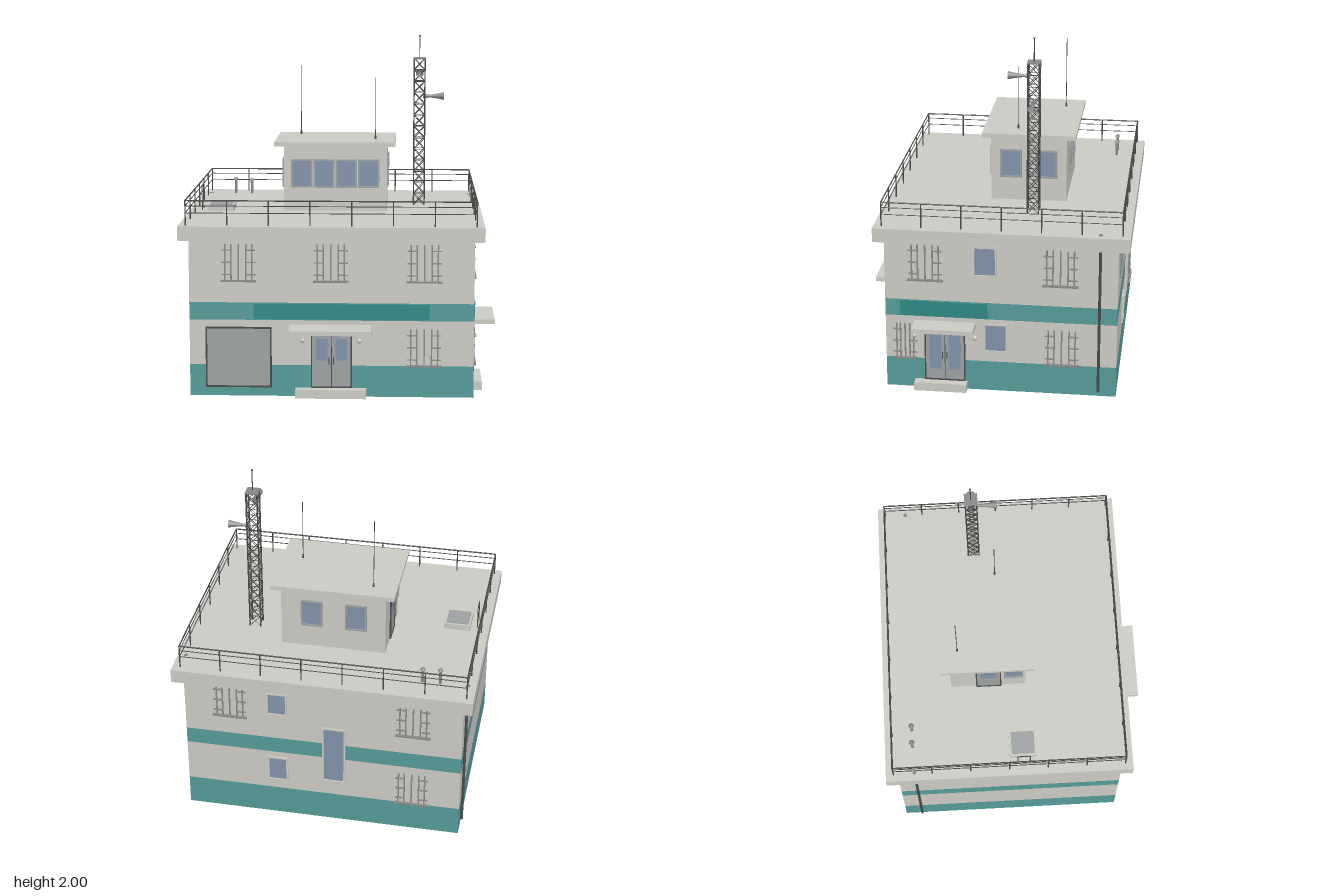
import * as THREE from 'three';

const mat = (color, side = THREE.FrontSide) => new THREE.MeshStandardMaterial({ color, side });
const WALL = mat(0xcccac4), TEAL = mat(0x559b99), SIGN = mat(0x2f8884), GLASS = mat(0x8092a8),
  PANEL = mat(0x9da1a2), DARK = mat(0x4a4c4c), METAL = mat(0x888a8a, THREE.DoubleSide);

function add(parent, name, geo, m, x = 0, y = 0, z = 0) {
  const o = new THREE.Mesh(geo, m);
  o.name = name;
  o.position.set(x, y, z);
  parent.add(o);
  return o;
}
// Box given by its limits on each axis
function box(parent, name, m, x0, x1, y0, y1, z0, z1) {
  return add(parent, name, new THREE.BoxGeometry(x1 - x0, y1 - y0, z1 - z0), m,
    (x0 + x1) / 2, (y0 + y1) / 2, (z0 + z1) / 2);
}
// Round rod between two points
function rod(parent, name, m, a, b, r, sides = 6) {
  const p = new THREE.Vector3(...a), q = new THREE.Vector3(...b), d = q.clone().sub(p);
  const o = add(parent, name, new THREE.CylinderGeometry(r, r, d.length(), sides), m);
  o.position.copy(p).add(q).multiplyScalar(0.5);
  o.quaternion.setFromUnitVectors(new THREE.Vector3(0, 1, 0), d.normalize());
  return o;
}
function group(parent, name, x = 0, y = 0, z = 0, ry = 0) {
  const g = new THREE.Group();
  g.name = name;
  g.position.set(x, y, z);
  g.rotation.y = ry;
  parent.add(g);
  return g;
}
// Four bars around an opening, standing out from the wall plane z = 0
function frame(g, m, w, y0, y1, t, d) {
  for (const s of [-1, 1]) box(g, 'frameSide', m, s * w / 2 - t / 2, s * w / 2 + t / 2, y0, y1, -0.005, d);
  for (const y of [y0, y1]) box(g, 'frameRail', m, -w / 2 - t / 2, w / 2 + t / 2, y - t / 2, y + t / 2, -0.005, d);
}
function glazedWindow(face, x, y0, y1, w, frameMat = WALL) {
  const g = group(face, 'window', x);
  box(g, 'glass', GLASS, -w / 2, w / 2, y0, y1, -0.01, 0.003);
  frame(g, frameMat, w, y0, y1, 0.01, 0.01);
}
// Window closed with bars and hinge straps over a sill
function barredWindow(face, x, y, w = 0.19) {
  const g = group(face, 'barredWindow', x);
  box(g, 'sill', METAL, -w / 2 - 0.005, w / 2 + 0.005, y - 0.006, y + 0.004, -0.005, 0.016);
  for (const k of [-0.4, -0.22, 0, 0.22, 0.4])
    box(g, 'bar', METAL, k * w - 0.004, k * w + 0.004, y, y + 0.21, -0.005, 0.006);
  for (const s of [-1, 1]) for (const h of [0.035, 0.105, 0.175])
    box(g, 'hingeStrap', METAL, s * w * 0.37 - 0.025, s * w * 0.37 + 0.025, y + h - 0.003, y + h + 0.003, -0.005, 0.009);
}
// Double door with step, canopy and lamps
function entrance(face, x, doorW, canopy, step, out, lampX) {
  const g = group(face, 'entrance', x);
  box(g, 'door', PANEL, -doorW / 2, doorW / 2, 0.05, 0.37, -0.01, 0.004);
  frame(g, DARK, doorW, 0.055, 0.37, 0.007, 0.01);
  box(g, 'doorSplit', DARK, -0.002, 0.002, 0.055, 0.37, 0, 0.006);
  const low = out > 0.15 ? 0.21 : 0.12;
  for (const s of [-1, 1]) {
    box(g, 'doorGlass', GLASS, s * 0.055 - 0.033, s * 0.055 + 0.033, low, 0.335, 0, 0.007);
    rod(g, 'handle', DARK, [s * 0.012, 0.19, 0.014], [s * 0.012, 0.23, 0.014], 0.003);
  }
  box(g, 'canopy', WALL, canopy[0] - x, canopy[1] - x, 0.39, 0.415, -0.01, out);
  box(g, 'step', WALL, step[0] - x, step[1] - x, 0, 0.05, -0.01, 0.055);
  add(g, 'canopyLamp', new THREE.SphereGeometry(0.018, 16, 8).scale(1, 0.6, 1), METAL, 0, 0.387, out / 2);
  for (const lx of lampX)
    add(g, 'wallLamp', new THREE.SphereGeometry(0.014, 16, 10), WALL, lx - x, 0.325, 0.008);
}

function building(root) {
  const g = group(root, 'building');
  // Painted wall courses stacked from the ground
  [[0, 0.18, TEAL, 'plinth'], [0.18, 0.44, WALL, 'lowerWall'], [0.44, 0.54, TEAL, 'stripe'], [0.54, 0.9, WALL, 'upperWall']]
    .forEach(([a, b, m, n]) => box(g, n, m, -0.84, 0.765, a, b, -0.71, 0.6));
  box(g, 'roofSlab', WALL, -0.895, 0.82, 0.9, 0.98, -0.775, 0.655);

  const front = group(g, 'frontFace', 0, 0, 0.6);
  for (const x of [-0.56, -0.04, 0.485]) barredWindow(front, x, 0.665);
  barredWindow(front, 0.485, 0.182);
  box(front, 'signBoard', SIGN, -0.475, 0.515, 0.446, 0.534, -0.005, 0.008);
  entrance(front, -0.0375, 0.225, [-0.27, 0.19], [-0.24, 0.16], 0.17, [-0.2, 0.12]);
  const garage = group(front, 'garageDoor', -0.5625);
  box(garage, 'doorPanel', PANEL, -0.18, 0.18, 0.05, 0.395, -0.01, 0.004);
  frame(garage, DARK, 0.365, 0.055, 0.395, 0.009, 0.009);

  // On the right face local x runs along -z
  const right = group(g, 'rightFace', 0.765, 0, 0, Math.PI / 2);
  barredWindow(right, -0.37, 0.665);
  barredWindow(right, 0.39, 0.665);
  barredWindow(right, 0.4, 0.182);
  barredWindow(right, -0.49, 0.182, 0.12);
  glazedWindow(right, -0.033, 0.705, 0.875, 0.125);
  glazedWindow(right, 0.027, 0.245, 0.41, 0.125);
  box(right, 'signBoard', SIGN, -0.515, -0.02, 0.446, 0.534, -0.005, 0.008);
  entrance(right, -0.2625, 0.225, [-0.435, -0.087], [-0.435, -0.135], 0.125, [-0.435, -0.09]);

  // On the back face local x runs along -x
  const back = group(g, 'backFace', 0, 0, -0.71, Math.PI);
  barredWindow(back, 0.56, 0.665);
  barredWindow(back, 0.56, 0.182);
  barredWindow(back, -0.5, 0.665);
  glazedWindow(back, -0.225, 0.71, 0.85, 0.11);
  glazedWindow(back, -0.225, 0.245, 0.4, 0.11);
  glazedWindow(back, 0.105, 0.28, 0.65, 0.125);

  for (const x of [-0.848, 0.773]) {
    rod(g, 'downpipe', DARK, [x, 0.03, -0.61], [x, 0.9, -0.61], 0.008, 10);
    add(g, 'roofDrain', new THREE.CylinderGeometry(0.012, 0.012, 0.004, 12), METAL, x, 0.982, -0.61);
  }
}

function railing(root) {
  const g = group(root, 'railing');
  const x0 = -0.855, x1 = 0.775, z0 = -0.73, z1 = 0.61;
  for (const [y, r] of [[1.12, 0.004], [1.09, 0.0025], [1.05, 0.0025]]) {
    for (const z of [z0, z1]) rod(g, 'rail', DARK, [x0, y, z], [x1, y, z], r);
    for (const x of [x0, x1]) rod(g, 'rail', DARK, [x, y, z0], [x, y, z1], r);
  }
  for (let i = 0; i <= 7; i++) for (const z of [z0, z1]) {
    const x = x0 + (x1 - x0) * i / 7;
    rod(g, 'post', DARK, [x, 0.98, z], [x, 1.12, z], 0.004);
  }
  for (let i = 1; i < 6; i++) for (const x of [x0, x1]) {
    const z = z0 + (z1 - z0) * i / 6;
    rod(g, 'post', DARK, [x, 0.98, z], [x, 1.12, z], 0.004);
  }
}

function lookout(root) {
  const g = group(root, 'lookout');
  box(g, 'cabin', WALL, -0.34, 0.265, 0.98, 1.37, -0.375, 0.06);
  box(g, 'cabinRoof', WALL, -0.395, 0.315, 1.365, 1.39, -0.43, 0.108);
  const front = group(g, 'cabinFront', 0, 0, 0.06);
  for (let i = 0; i < 4; i++) glazedWindow(front, -0.235 + i * 0.131, 1.122, 1.28, 0.115, PANEL);
  const right = group(g, 'cabinRight', 0.265, 0, 0, Math.PI / 2);
  for (const x of [0.055, 0.26]) glazedWindow(right, x, 1.122, 1.28, 0.115, PANEL);
  const back = group(g, 'cabinBack', 0, 0, -0.375, Math.PI);
  for (const x of [-0.087, 0.17]) glazedWindow(back, x, 1.122, 1.28, 0.115, PANEL);
  const left = group(g, 'cabinLeft', -0.34, 0, 0, -Math.PI / 2);
  glazedWindow(left, -0.01, 1.122, 1.28, 0.1, PANEL);
  const door = group(left, 'cabinDoor', -0.155);
  box(door, 'doorPanel', PANEL, -0.07, 0.07, 0.985, 1.285, -0.01, 0.004);
  box(door, 'doorGlass', GLASS, -0.045, 0.045, 1.12, 1.26, 0, 0.006);
  frame(door, DARK, 0.14, 0.985, 1.285, 0.007, 0.009);
  for (const [x, z, top] of [[-0.26, -0.325, 1.81], [0.195, -0.09, 1.755]]) {
    rod(g, 'whipAerial', DARK, [x, 1.39, z], [x, top, z], 0.002);
    add(g, 'aerialBase', new THREE.CylinderGeometry(0.005, 0.006, 0.02, 10), DARK, x, 1.4, z);
  }
}

function mast(root) {
  const g = group(root, 'mast', 0.455, 0, -0.205);
  const h = 0.032, y0 = 0.98, bays = 13, step = 0.88 / bays;
  for (let k = 0; k < 4; k++) {
    const side = group(g, 'mastSide', 0, 0, 0, k * Math.PI / 2);
    rod(side, 'leg', DARK, [-h, y0, h], [-h, 1.86, h], 0.004);
    for (let i = 0; i < bays; i++) {
      const a = y0 + i * step, b = a + step;
      rod(side, 'brace', DARK, [-h, a, h], [h, b, h], 0.002, 4);
      rod(side, 'brace', DARK, [h, a, h], [-h, b, h], 0.002, 4);
      rod(side, 'strut', DARK, [-h, b, h], [h, b, h], 0.002, 4);
    }
  }
  box(g, 'topPlate', METAL, -0.037, 0.037, 1.856, 1.864, -0.037, 0.037);
  rod(g, 'spike', DARK, [0, 1.86, 0], [0, 1.995, 0], 0.003);
  add(g, 'spikeTip', new THREE.SphereGeometry(0.006, 10, 8), DARK, 0, 1.994, 0);
  // Two fog horns, one facing forward and one to the side
  for (const [y, ry] of [[1.78, 0], [1.635, Math.PI / 2]]) {
    const horn = group(g, 'fogHorn', 0, y, 0, ry);
    const pts = [[0.007, 0.03], [0.008, 0.06], [0.012, 0.09], [0.017, 0.12], [0.023, 0.145]].map(p => new THREE.Vector2(...p));
    add(horn, 'hornBell', new THREE.LatheGeometry(pts, 20).rotateX(Math.PI / 2), METAL);
    add(horn, 'hornDriver', new THREE.CylinderGeometry(0.012, 0.012, 0.025, 14).rotateX(Math.PI / 2), METAL, 0, 0, 0.035);
  }
}

function roofFittings(root) {
  const g = group(root, 'roofFittings');
  box(g, 'hatchCurb', WALL, -0.788, -0.635, 0.98, 1.015, -0.055, 0.102);
  box(g, 'hatchLid', PANEL, -0.777, -0.646, 1.01, 1.02, -0.043, 0.09);
  // Grab rail beside the hatch
  for (const z of [-0.01, 0.06]) rod(g, 'grabPost', DARK, [-0.825, 0.98, z], [-0.825, 1.12, z], 0.003);
  rod(g, 'grabBar', DARK, [-0.825, 1.12, -0.01], [-0.825, 1.12, 0.06], 0.003);
  for (const [x, y] of [[-0.692, 1.07], [-0.592, 1.065]]) {
    rod(g, 'ventPipe', METAL, [x, 0.98, -0.615], [x, y, -0.615], 0.008, 12);
    add(g, 'ventCap', new THREE.CylinderGeometry(0.006, 0.016, 0.014, 14), METAL, x, y + 0.005, -0.615);
  }
}

export function createModel() {
  const root = new THREE.Group();
  root.name = 'coastStation';
  [building, railing, lookout, mast, roofFittings].forEach(part => part(root));
  return root;
}
